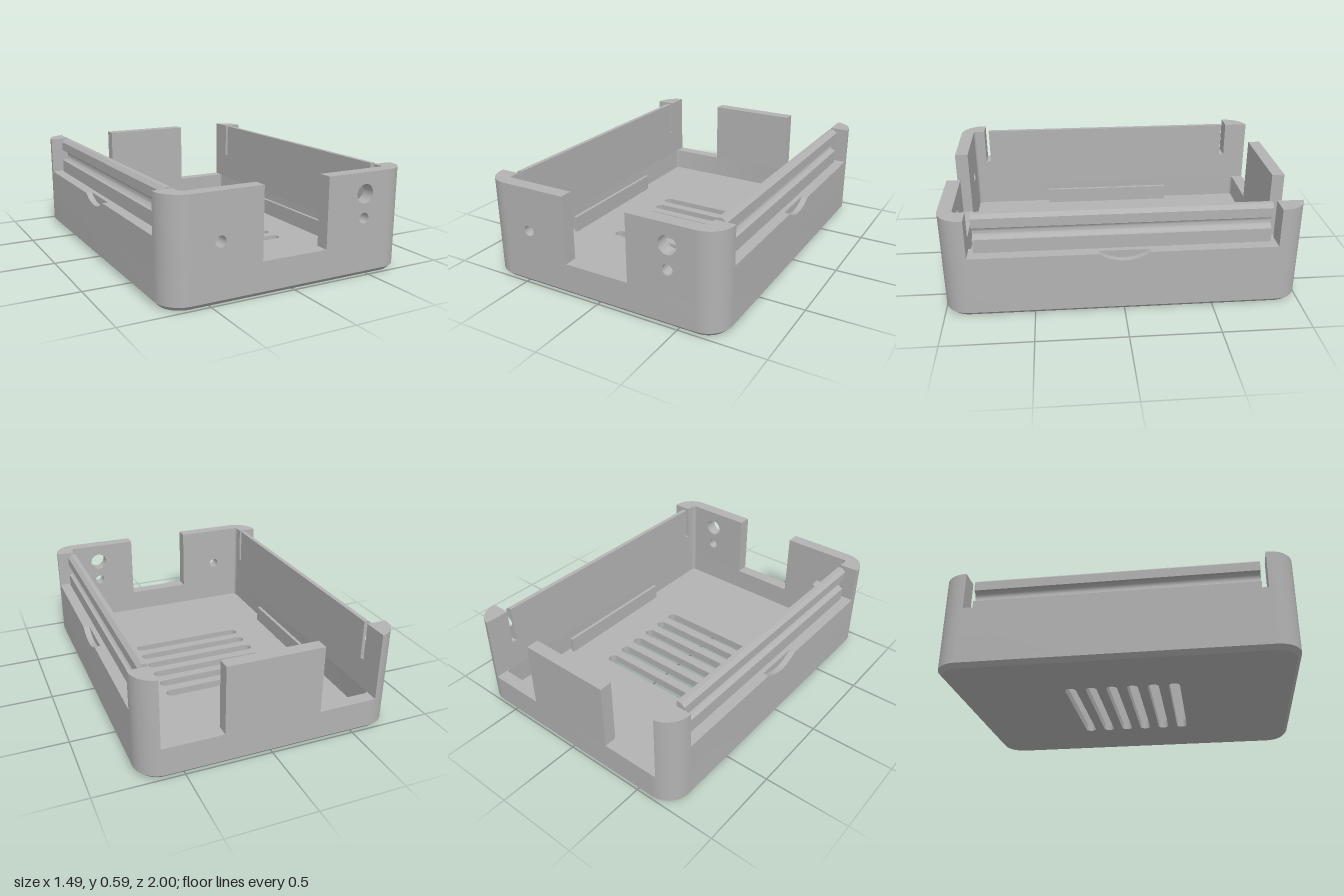
import * as THREE from 'three';
import { toCreasedNormals } from 'three/addons/utils/BufferGeometryUtils.js';

const W = 0.745, L = 1, R = 0.14, H = 0.59;      // outer half width, half length, corner radius, height
const IW = 0.63, FRONT = 0.92, BACK = 0.925;     // inner faces of the walls
const FLOOR = 0.05, SILL = 0.19, LEDGE = 0.365;  // floor top, opening sills, side wall top

// Rounded rectangle centred on (cx, cy)
function roundRect(hw, hh, r, cx = 0, cy = 0, ShapeType = THREE.Shape) {
  const s = new ShapeType();
  s.absarc(cx + hw - r, cy + hh - r, r, 0, Math.PI / 2);
  s.absarc(cx - hw + r, cy + hh - r, r, Math.PI / 2, Math.PI);
  s.absarc(cx - hw + r, cy - hh + r, r, Math.PI, Math.PI * 1.5);
  s.absarc(cx + hw - r, cy - hh + r, r, Math.PI * 1.5, Math.PI * 2);
  s.closePath();
  return s;
}

// Points of an arc
function arc(cx, cy, r, a0, a1, n = 16) {
  return Array.from({ length: n + 1 }, (_, i) => {
    const a = a0 + (a1 - a0) * i / n;
    return [cx + r * Math.cos(a), cy + r * Math.sin(a)];
  });
}

const polygon = (pts) => new THREE.Shape(pts.map(([x, y]) => new THREE.Vector2(x, y)));

function extrude(shape, depth, steps = 1) {
  return new THREE.ExtrudeGeometry(shape, { depth, steps, bevelEnabled: false, curveSegments: 16 });
}

export function createModel() {
  const group = new THREE.Group();
  const casing = new THREE.MeshStandardMaterial({ color: 0xb2b2b2 });
  casing.name = 'casing grey';

  function add(name, geometry) {
    const mesh = new THREE.Mesh(toCreasedNormals(geometry, 0.5), casing);
    mesh.name = name;
    group.add(mesh);
  }
  function box(name, x0, x1, y0, y1, z0, z1) {
    const g = new THREE.BoxGeometry(x1 - x0, y1 - y0, z1 - z0);
    add(name, g.translate((x0 + x1) / 2, (y0 + y1) / 2, (z0 + z1) / 2));
  }
  // Plan outline in (x, -z), raised from y0 to y1
  const upright = (shape, y0, y1, steps) =>
    extrude(shape, y1 - y0, steps).rotateX(-Math.PI / 2).translate(0, y0, 0);

  // Floor with vent slots; its lower rim is drawn in to form the chamfer
  const floorShape = roundRect(W, L, R);
  for (let i = 0; i < 6; i++) {
    floorShape.holes.push(roundRect(0.363, 0.032, 0.0319, 0, -0.303 + 0.1215 * i, THREE.Path));
  }
  const floor = upright(floorShape, 0, FLOOR, 2);
  const p = floor.attributes.position;
  for (let i = 0; i < p.count; i++) {
    const x = p.getX(i), z = p.getZ(i);
    if (p.getY(i) > 0.001 || (Math.abs(x) < 0.45 && Math.abs(z) < 0.45)) continue;
    const cx = THREE.MathUtils.clamp(x, R - W, W - R);
    const cz = THREE.MathUtils.clamp(z, R - L, L - R);
    const k = (R - 0.025) / R;
    p.setXYZ(i, cx + (x - cx) * k, 0, cz + (z - cz) * k);
  }
  add('ventedFloor', floor);

  // Continuous lower wall
  const ring = roundRect(W, L, R);
  ring.holes.push(roundRect(IW, (FRONT + BACK) / 2, 0.02, 0, (BACK - FRONT) / 2, THREE.Path));
  add('lowerWall', upright(ring, FLOOR, SILL));

  // Corner posts, in plan
  const frontPost = [
    ...arc(W - R, L - R, R, 0, Math.PI / 2),
    [W - R, FRONT], ...arc(IW - 0.02, FRONT - 0.02, 0.02, Math.PI / 2, 0, 5),
    [IW, 0.85], [W, 0.85],
  ];
  const backPost = [
    ...arc(W - R, L - R, R, 0, Math.acos((IW - W + R) / R)),
    [IW, 0.85], [W, 0.85],
  ];

  // Side wall skin with a thumb notch, drawn in (z, y)
  const notchR = 0.24, notchY = 0.32 + notchR;
  const half = Math.acos((notchY - LEDGE) / notchR);
  const skin = polygon([
    [-0.85, SILL], [0.85, SILL], [0.85, LEDGE],
    ...arc(0, notchY, notchR, -Math.PI / 2 + half, -Math.PI / 2 - half, 20),
    [-0.85, LEDGE],
  ]);

  // Snap rail section in (x, y): chamfered top and a round groove
  const rail = [
    [IW, LEDGE], [0.68, LEDGE],
    ...arc(0.68, 0.48, 0.035, -Math.PI / 2, -Math.PI * 1.5, 14),
    [0.68, 0.57], [0.657, H], [IW, H],
  ];

  for (const s of [1, -1]) {
    const side = s > 0 ? 'left' : 'right';
    const span = (a, b) => (s > 0 ? [a, b] : [-b, -a]);
    const flip = (pts, t = 1) => polygon(pts.map(([x, y]) => [s * x, t * y]));

    add(side + 'FrontPost', upright(flip(frontPost, -1), SILL, H));
    add(side + 'BackPost', upright(flip(backPost), SILL, H));

    box(side + 'SideWall', ...span(IW, 0.71), SILL, LEDGE, -0.85, 0.85);
    add(side + 'SideWallNotched',
      extrude(skin, W - 0.71).rotateY(Math.PI / 2).translate(s > 0 ? 0.71 : -W, 0, 0));
    add(side + 'SnapRail', extrude(flip(rail), 1.64).translate(0, 0, -0.82));
    box(side + 'FloorRib', ...span(0.587, 0.608), FLOOR, 0.15, -0.42, 0.42);

    // Front panel with port holes
    const panel = flip([[0.2, SILL], [W - R, SILL], [W - R, H], [0.2, H]]);
    const ports = s > 0 ? [[0.333, 0.031], [0.47, 0.054]] : [[0.333, 0.031]];
    for (const [y, r] of ports) {
      panel.holes.push(new THREE.Path().absarc(s * 0.446, y, r, 0, Math.PI * 2));
    }
    add(side + 'FrontPanel', extrude(panel, L - FRONT).translate(0, 0, FRONT));
  }

  // Centre tab of the back wall
  box('backTab', -0.28, 0.28, SILL, H, -L, -BACK);

  return group;
}
